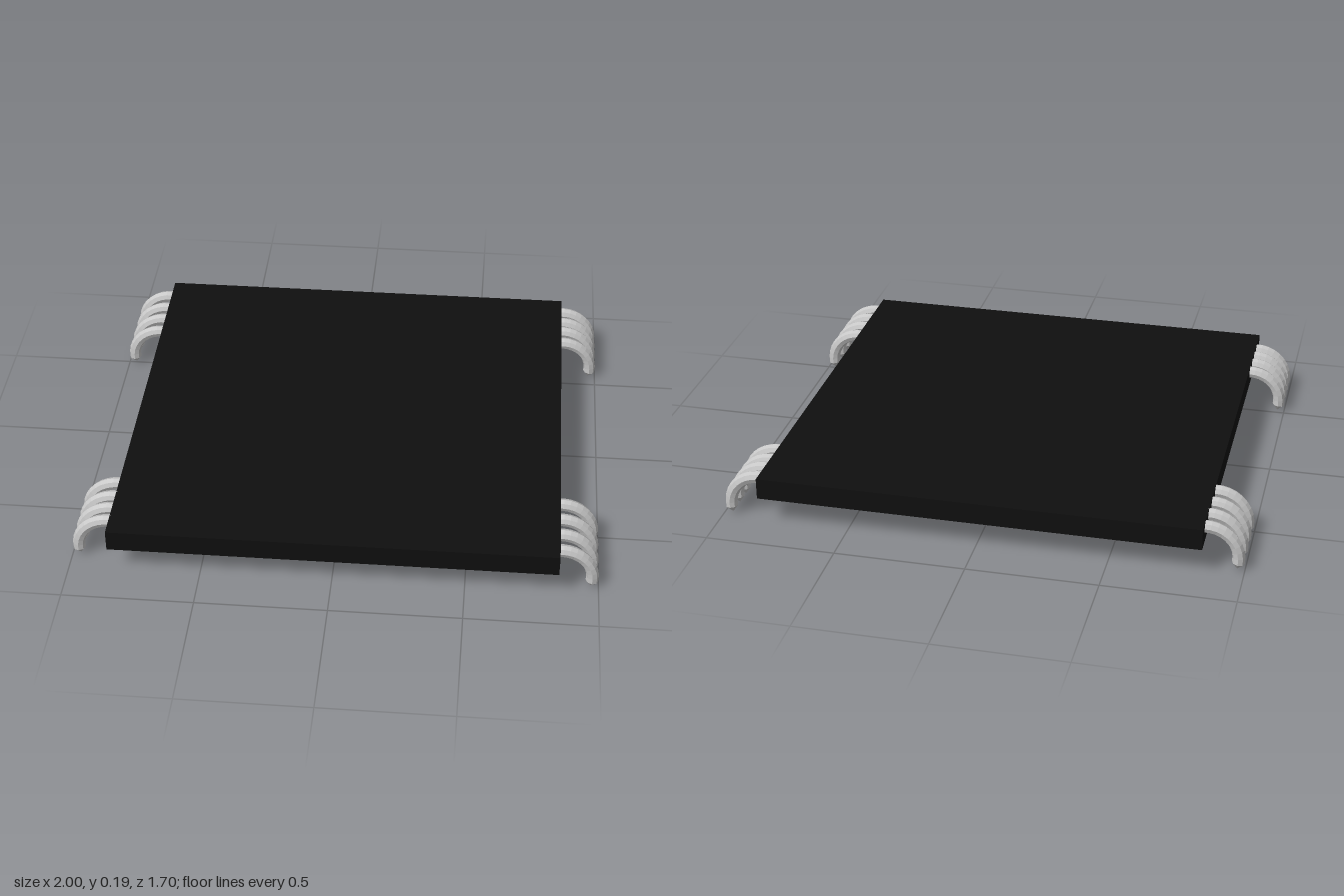
import * as THREE from 'three';

const TUBE = 0.024, RADIUS = 0.121, CX = 0.854, CY = 0.046, TIP = 0.026;

// Circular arc in the xy plane, angles measured from +x
class ArcPath extends THREE.Curve {
  constructor(from, to) {
    super();
    this.from = from;
    this.to = to;
  }
  getPoint(t, target = new THREE.Vector3()) {
    const a = this.from + (this.to - this.from) * t;
    return target.set(CX + RADIUS * Math.cos(a), CY + RADIUS * Math.sin(a), 0);
  }
}

// Curved octagonal claw with a pointed tip at each end
function makeClaw(innerAngle, material) {
  const claw = new THREE.Group();
  claw.name = 'claw';
  const path = new ArcPath(THREE.MathUtils.degToRad(-8), THREE.MathUtils.degToRad(innerAngle));
  const rod = new THREE.Mesh(new THREE.TubeGeometry(path, 14, TUBE, 8, false), material);
  rod.name = 'clawRod';
  claw.add(rod);
  for (const t of [0, 1]) {
    const direction = path.getTangent(t).multiplyScalar(t ? 1 : -1);
    const tip = new THREE.Mesh(new THREE.ConeGeometry(TUBE, TIP, 8), material);
    tip.name = 'clawTip';
    tip.quaternion.setFromUnitVectors(new THREE.Vector3(0, 1, 0), direction);
    tip.position.copy(path.getPoint(t)).addScaledVector(direction, TIP / 2);
    claw.add(tip);
  }
  return claw;
}

export function createModel() {
  const model = new THREE.Group();
  model.name = 'clawedSlab';

  const black = new THREE.MeshStandardMaterial({ color: 0x0f0f0f });
  black.name = 'black';
  const silver = new THREE.MeshStandardMaterial({ color: 0xc6c6c6 });
  silver.name = 'silver';
  silver.flatShading = true;

  // Flat square slab
  const slab = new THREE.Mesh(new THREE.BoxGeometry(1.695, 0.083, 1.695), black);
  slab.name = 'slab';
  slab.position.y = 0.149;
  model.add(slab);

  // Four claws at each corner, running through the slab
  const corners = [
    { name: 'frontLeftClaws', side: 1, inner: 140, z: [0.51, 0.6, 0.687, 0.777] },
    { name: 'backLeftClaws', side: 1, inner: 140, z: [-0.565, -0.645, -0.713, -0.787] },
    { name: 'frontRightClaws', side: -1, inner: 151, z: [0.527, 0.607, 0.677, 0.75] },
    { name: 'backRightClaws', side: -1, inner: 151, z: [-0.508, -0.598, -0.685, -0.775] },
  ];
  for (const { name, side, inner, z } of corners) {
    const corner = new THREE.Group();
    corner.name = name;
    for (const position of z) {
      const claw = makeClaw(inner, silver);
      claw.position.z = position;
      if (side < 0) claw.rotation.y = Math.PI;
      corner.add(claw);
    }
    model.add(corner);
  }
  return model;
}
